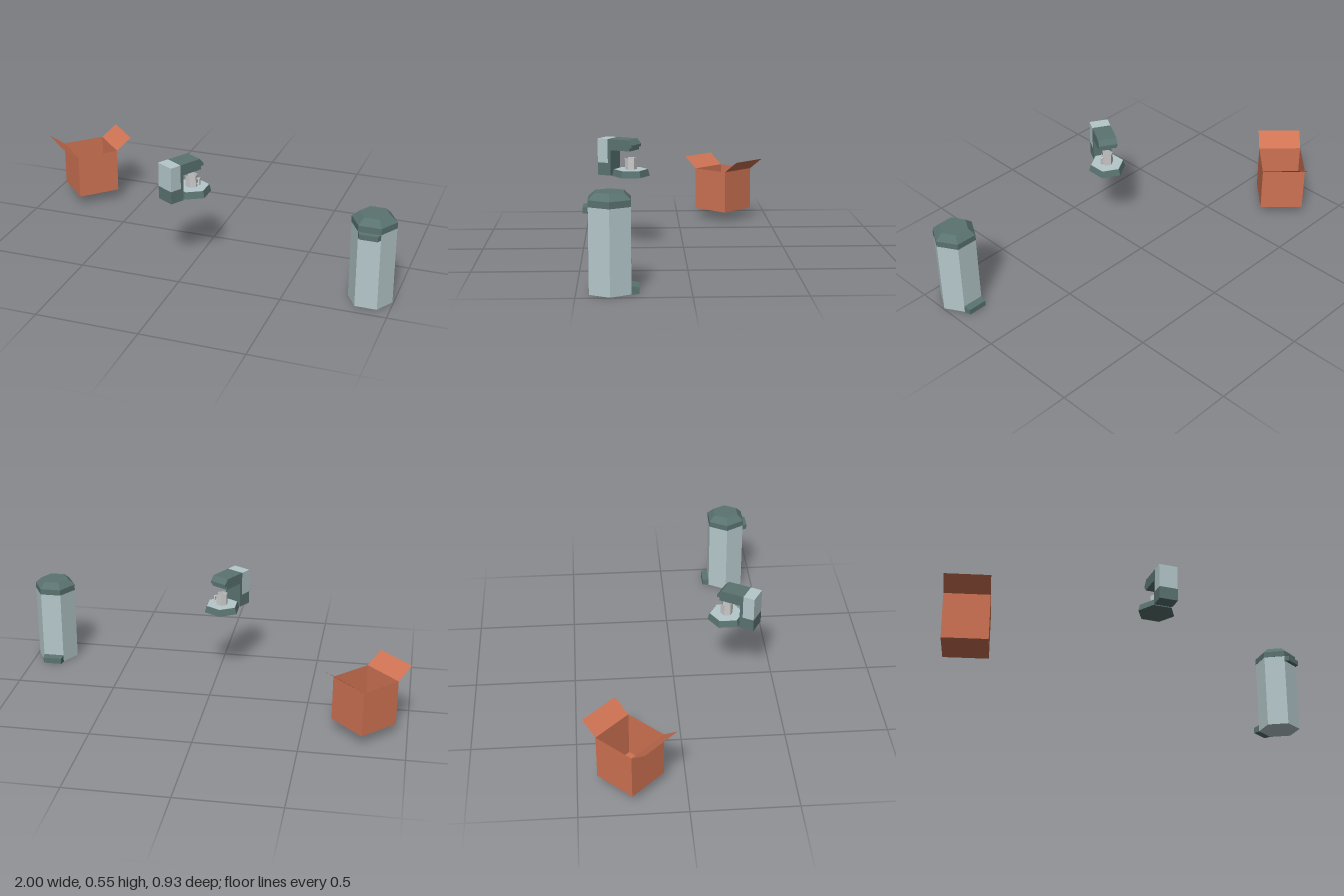
import * as THREE from 'three';

const mat = (color) => new THREE.MeshStandardMaterial({ color, flatShading: true, side: THREE.DoubleSide });

export function createModel() {
  const light = mat(0xb5c8cb), dark = mat(0x5a7370), cardboard = mat(0xcf7353), grey = mat(0xcccccc);

  const group = (parent, name, x, y, z, turn = 0) => {
    const g = new THREE.Group();
    g.name = name;
    g.position.set(x, y, z);
    g.rotation.y = turn;
    parent.add(g);
    return g;
  };
  const add = (parent, name, geometry, material, x = 0, y = 0, z = 0) => {
    const m = new THREE.Mesh(geometry, material);
    m.name = name;
    m.position.set(x, y, z);
    parent.add(m);
    return m;
  };
  // Six-sided prism or frustum standing between two heights
  const hex = (parent, name, rTop, rBottom, y0, y1, material, open = false) =>
    add(parent, name, new THREE.CylinderGeometry(rTop, rBottom, y1 - y0, 6, 1, open), material, 0, (y0 + y1) / 2, 0);
  // Side profile (forward, height) extruded across the width; forward is -z
  const profile = (points, width) => {
    const shape = new THREE.Shape(points.map(([x, y]) => new THREE.Vector2(x, y)));
    return new THREE.ExtrudeGeometry(shape, { depth: width, bevelEnabled: false })
      .translate(0, 0, -width / 2).rotateY(Math.PI / 2);
  };

  const model = new THREE.Group();
  model.name = 'kitchenItems';

  // Hexagonal bin
  const bin = group(model, 'bin', 0.89, 0, 0.352);
  const shell = group(bin, 'binShell', 0, 0, 0, Math.PI / 6);
  hex(shell, 'binBody', 0.105, 0.105, 0, 0.38, light);
  hex(shell, 'lidBand', 0.106, 0.106, 0.38, 0.41, dark);
  hex(shell, 'lidTop', 0.072, 0.106, 0.41, 0.44, dark);

  // Narrowing ledges: lid handle at the front, pedal at the back
  const ledge = (name, y0, y1, reach, endWidth, drop, side) => {
    const g = new THREE.BoxGeometry(0.105, y1 - y0, reach);
    const p = g.attributes.position;
    for (let i = 0; i < p.count; i++) {
      if (p.getZ(i) > 0) {
        p.setX(i, Math.sign(p.getX(i)) * endWidth / 2);
        if (p.getY(i) > 0) p.setY(i, p.getY(i) - drop);
      }
    }
    if (side < 0) g.rotateY(Math.PI);
    add(bin, name, g, dark, 0, (y0 + y1) / 2, side * (0.091 + reach / 2));
  };
  ledge('lidHandle', 0.353, 0.38, 0.022, 0.085, 0.002, 1);
  ledge('pedal', 0, 0.035, 0.034, 0.096, 0.006, -1);

  // Open cardboard box with two raised flaps
  const S = 0.2165, H = 0.225;
  const box = group(model, 'cardboardBox', -0.79, 0.055, -0.254, Math.PI / 4);
  add(box, 'boxFloor', new THREE.PlaneGeometry(S, S).rotateX(Math.PI / 2), cardboard);
  for (let i = 0; i < 4; i++) {
    const sideGroup = group(box, 'boxSide', 0, 0, 0, i * Math.PI / 2);
    add(sideGroup, 'boxWall', new THREE.PlaneGeometry(S, H), cardboard, 0, H / 2, S / 2);
    if (i % 2) {
      const flap = add(sideGroup, 'boxFlap', new THREE.PlaneGeometry(S, 0.1), cardboard, 0, H + 0.03, S / 2 + 0.04);
      flap.rotation.x = Math.atan2(0.08, 0.06);
    }
  }

  // Stand mixer base
  const mixer = group(model, 'mixer', -0.02, 0, 0.261);
  hex(mixer, 'mixerBase', 0.085, 0.094, 0.362, 0.395, dark);
  const plate = hex(mixer, 'basePlate', 0.083, 0.083, 0.394, 0.396, light);
  plate.material = light;

  // Mixer column, rear casing and head, turned across the base
  const W = 0.094;
  const body = group(mixer, 'mixerBody', 0, 0, 0, -Math.PI / 6);
  add(body, 'columnFoot', new THREE.BoxGeometry(W, 0.063, 0.074), dark, 0, 0.3935, 0.126);
  add(body, 'rearCasing', new THREE.BoxGeometry(W, 0.12, 0.058), light, 0, 0.485, 0.134);
  add(body, 'mixerHead', profile([
    [-0.105, 0.425], [-0.089, 0.425], [-0.089, 0.49], [0.02, 0.49], [0.02, 0.507],
    [0.033, 0.507], [0.033, 0.52], [0.012, 0.545], [-0.105, 0.545],
  ], W), dark);

  // Mixing cup with a looped handle
  hex(mixer, 'cup', 0.03, 0.03, 0.395, 0.453, grey, true);
  const loop = new THREE.Shape([[0.025, 0.44], [0.042, 0.44], [0.042, 0.406], [0.025, 0.406],
    [0.025, 0.412], [0.036, 0.412], [0.036, 0.434], [0.025, 0.434]].map(([x, y]) => new THREE.Vector2(x, y)));
  add(mixer, 'cupHandle', new THREE.ExtrudeGeometry(loop, { depth: 0.01, bevelEnabled: false }), grey, 0, 0, -0.005);

  return model;
}
